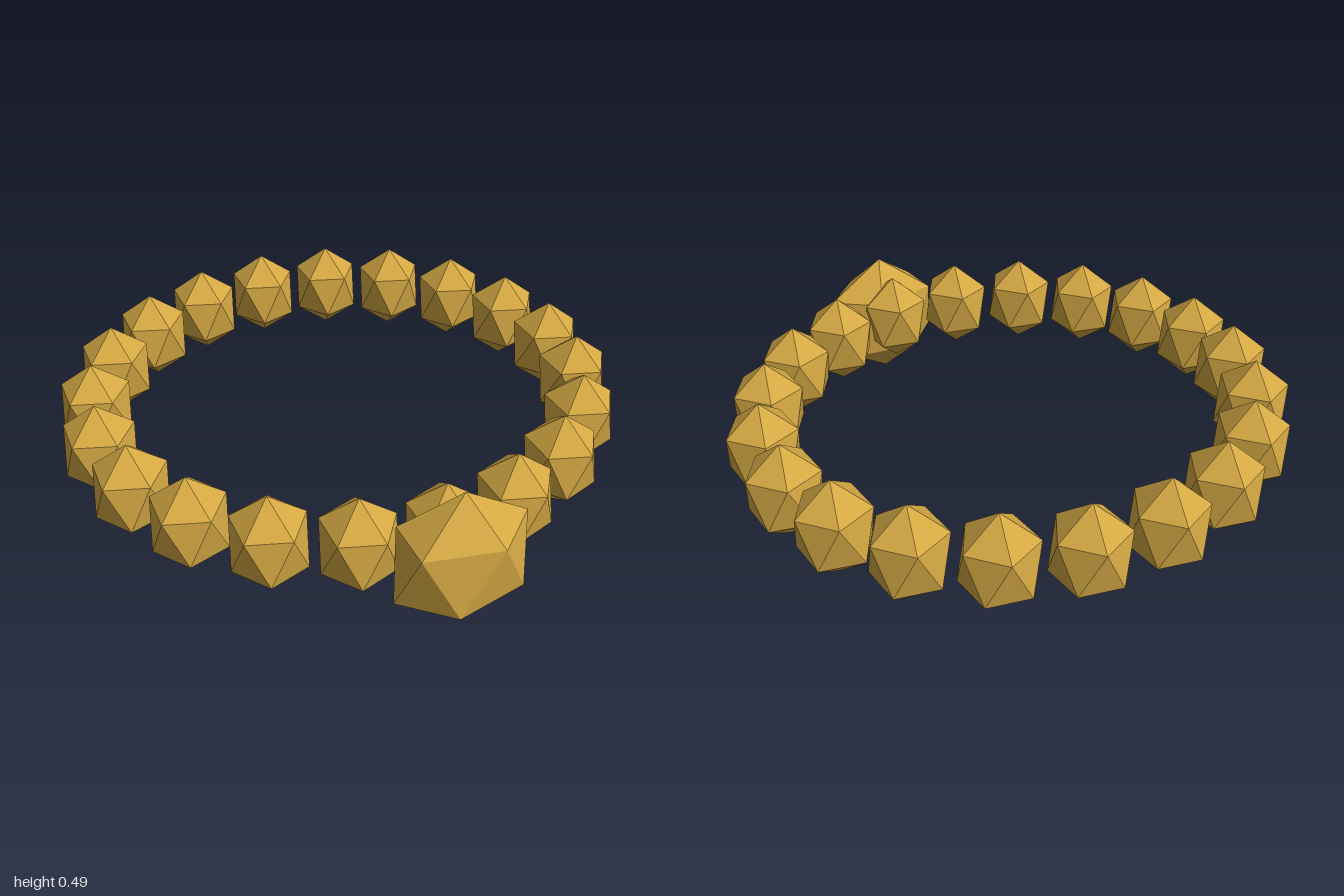
import * as THREE from 'three';

// Faceted gem: icosahedron standing on a vertex, with a ring vertex towards +x
function gemGeometry(rx, ry, rz) {
  const t = (1 + Math.sqrt(5)) / 2;
  const geometry = new THREE.IcosahedronGeometry(1, 0);
  geometry.rotateZ(-Math.atan(1 / t));
  geometry.scale(rx, ry, rz);
  return geometry;
}

export function createModel() {
  const group = new THREE.Group();
  group.name = 'beadedBracelet';
  const gold = new THREE.MeshStandardMaterial({ color: 0xd4a843 });
  gold.name = 'gold';

  // Twenty identical beads spaced around an ellipse
  const beads = new THREE.Group();
  beads.name = 'beads';
  const beadGeometry = gemGeometry(0.139, 0.174, 0.139);
  const count = 20;
  for (let i = 0; i < count; i++) {
    const a = (i / count) * Math.PI * 2;
    const bead = new THREE.Mesh(beadGeometry, gold);
    bead.name = `bead${i + 1}`;
    bead.position.set(Math.sin(a) * 0.874, 0.278, Math.cos(a) * 0.82 - 0.062);
    beads.add(bead);
  }
  group.add(beads);

  // Large flattened centrepiece at the front
  const centrepiece = new THREE.Mesh(gemGeometry(0.247, 0.247, 0.161), gold);
  centrepiece.name = 'centrepiece';
  centrepiece.position.set(0, 0.25, 0.863);
  group.add(centrepiece);

  return group;
}
